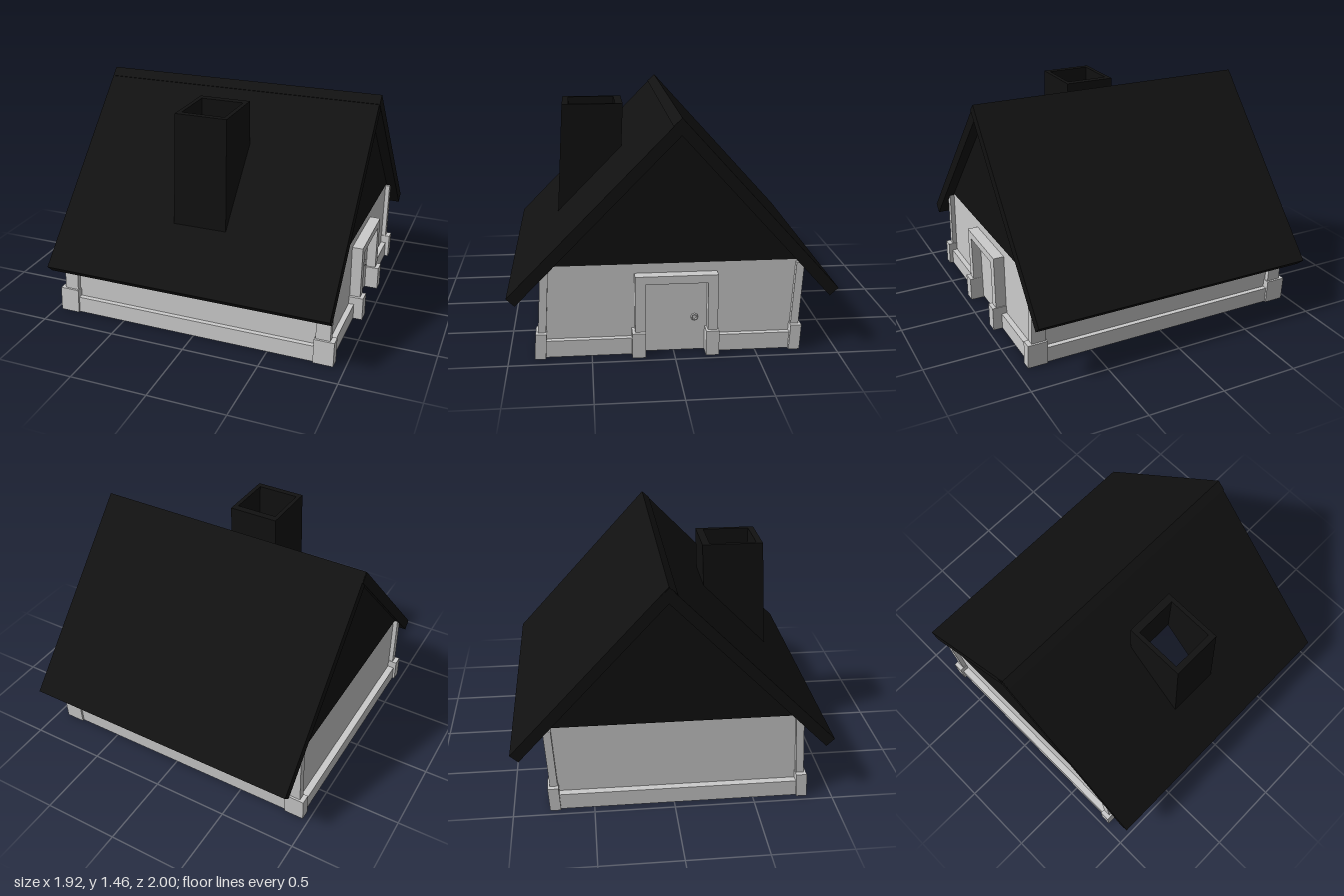
import * as THREE from 'three';

const stone = new THREE.MeshStandardMaterial({ color: 0xcccccc, flatShading: true });
const dark = new THREE.MeshStandardMaterial({ color: 0x111111, flatShading: true, side: THREE.DoubleSide });

// roof section: ridge and eave points as [z, y]
const RIDGE = [-0.04, 1.46], FRONT = [1, 0.4], BACK = [-1, 0.4], THICK = 0.07;
const CX = -0.017; // the walls sit slightly off the roof's middle

// walls lean back a little as they rise
const lean = new THREE.Matrix4().set(1, 0, 0, CX, 0, 1, 0, 0, 0, -0.06, 1, 0.035, 0, 0, 0, 1);
const upright = new THREE.Matrix4().makeTranslation(CX, 0, 0);

function box(parent, name, x, y, z, matrix = lean) {
  const g = new THREE.BoxGeometry(x[1] - x[0], y[1] - y[0], z[1] - z[0]);
  g.translate((x[0] + x[1]) / 2, (y[0] + y[1]) / 2, (z[0] + z[1]) / 2);
  return add(parent, name, g.applyMatrix4(matrix), stone);
}

function add(parent, name, geometry, material) {
  const mesh = new THREE.Mesh(geometry, material);
  mesh.name = name;
  parent.add(mesh);
  return mesh;
}

function rectangle(Type, u0, u1, v0, v1) {
  return new Type([[u0, v0], [u1, v0], [u1, v1], [u0, v1]].map(p => new THREE.Vector2(...p)));
}

// one pitch of the roof: drawn as x by distance down the slope, then tipped into place
function roofSlab(parent, name, eave, start, hole) {
  const down = new THREE.Vector3(0, eave[1] - RIDGE[1], eave[0] - RIDGE[0]);
  const length = down.length();
  down.normalize();
  const shape = rectangle(THREE.Shape, -0.94, 0.936, start, length);
  if (hole) {
    const [x, z0, z1] = hole;
    shape.holes.push(rectangle(THREE.Path, -x, x, (z0 - RIDGE[0]) / down.z, (z1 - RIDGE[0]) / down.z));
  }
  const g = new THREE.ExtrudeGeometry(shape, { depth: THICK, bevelEnabled: false });
  const xAxis = new THREE.Vector3(1, 0, 0);
  let inward = new THREE.Vector3().crossVectors(xAxis, down);
  if (inward.y > 0) {
    // keep the basis right-handed by mirroring along x
    xAxis.negate();
    inward.negate();
  }
  g.applyMatrix4(new THREE.Matrix4().makeBasis(xAxis, down, inward));
  g.translate(0, RIDGE[1], RIDGE[0]);
  add(parent, name, g, dark);
}

// hollow tapered stack whose foot follows the roof pitch
function chimneyGeometry() {
  const foot = z => RIDGE[1] - (z - RIDGE[0]) * 1.02 - 0.1;
  const ring = (x, z0, z1, y) => [[-x, z1], [x, z1], [x, z0], [-x, z0]]
    .map(([px, pz]) => [px, y ?? foot(pz), pz]);
  const rings = [
    ring(0.176, 0.277, 0.705), ring(0.168, 0.26, 0.655, 1.42),
    ring(0.14, 0.31, 0.615, 1.42), ring(0.14, 0.31, 0.615)
  ];
  const index = [];
  for (let r = 0; r < 4; r++) {
    for (let i = 0; i < 4; i++) {
      const a = r * 4 + i, b = r * 4 + (i + 1) % 4;
      const c = ((r + 1) % 4) * 4 + (i + 1) % 4, d = ((r + 1) % 4) * 4 + i;
      index.push(a, b, c, a, c, d);
    }
  }
  const g = new THREE.BufferGeometry();
  g.setAttribute('position', new THREE.Float32BufferAttribute(rings.flat(2), 3));
  g.setIndex(index);
  const flat = g.toNonIndexed();
  flat.computeVertexNormals();
  return flat;
}

export function createModel() {
  const house = new THREE.Group();
  house.name = 'cottage';

  // four walls around an open interior
  const plan = rectangle(THREE.Shape, -0.885, 0.885, -0.765, 0.765);
  plan.holes.push(rectangle(THREE.Path, -0.81, 0.81, -0.68, 0.68));
  const walls = new THREE.ExtrudeGeometry(plan, { depth: 0.57, bevelEnabled: false });
  walls.rotateX(-Math.PI / 2).applyMatrix4(lean);
  add(house, 'walls', walls, stone);

  // plinth, broken at the doorway
  const py = [0, 0.105];
  box(house, 'frontPlinth', [-0.93, 0.92], py, [0.76, 0.797]);
  box(house, 'backPlinth', [-0.93, 0.92], py, [-0.797, -0.76]);
  box(house, 'leftEndPlinth', [-0.93, -0.88], py, [-0.78, 0.78]);
  box(house, 'doorSidePlinth', [0.88, 0.92], py, [0.18, 0.78]);
  box(house, 'doorSidePlinth', [0.88, 0.92], py, [-0.78, -0.26]);

  // corner posts on blocks
  const span = (s, a, b) => s > 0 ? [a, b] : [-b, -a];
  for (const sx of [-1, 1]) {
    for (const sz of [-1, 1]) {
      box(house, 'cornerPost', span(sx, 0.822, 0.915), [0.1, 0.555], span(sz, 0.748, 0.796));
      box(house, 'cornerBlock', span(sx, 0.815, 0.945), [0, 0.16], span(sz, 0.743, 0.81));
    }
  }

  // doorway
  const door = new THREE.Group();
  door.name = 'doorway';
  house.add(door);
  for (const [post, block] of [[[0.177, 0.238], [0.175, 0.257]], [[-0.264, -0.203], [-0.27, -0.19]]]) {
    box(door, 'doorPost', [0.87, 0.955], [0.1, 0.48], post, upright);
    box(door, 'doorBlock', [0.87, 0.98], [0, 0.157], block, upright);
  }
  box(door, 'lintel', [0.87, 0.955], [0.46, 0.51], [-0.264, 0.238], upright);
  box(door, 'doorPanel', [0.87, 0.892], [0.01, 0.47], [-0.21, 0.185], upright);
  const handle = add(door, 'doorHandle', new THREE.TorusGeometry(0.018, 0.006, 4, 8), stone);
  handle.rotation.y = Math.PI / 2;
  handle.position.set(0.892 + CX + 0.006, 0.22, -0.127);

  // gable panels under the roof
  const gable = new THREE.Shape([[0.74, 0.57], [-0.04, 1.38], [-0.76, 0.57]].map(([z, y]) => new THREE.Vector2(-z, y)));
  for (const x of [-0.9, 0.82]) {
    const g = new THREE.ExtrudeGeometry(gable, { depth: 0.07, bevelEnabled: false });
    g.rotateY(Math.PI / 2).translate(x + CX, 0, 0);
    add(house, 'gable', g, dark);
  }

  // roof and chimney
  roofSlab(house, 'frontRoof', FRONT, 0.006, [0.155, 0.298, 0.64]);
  roofSlab(house, 'backRoof', BACK, 0);
  add(house, 'chimney', chimneyGeometry(), dark);
  return house;
}
